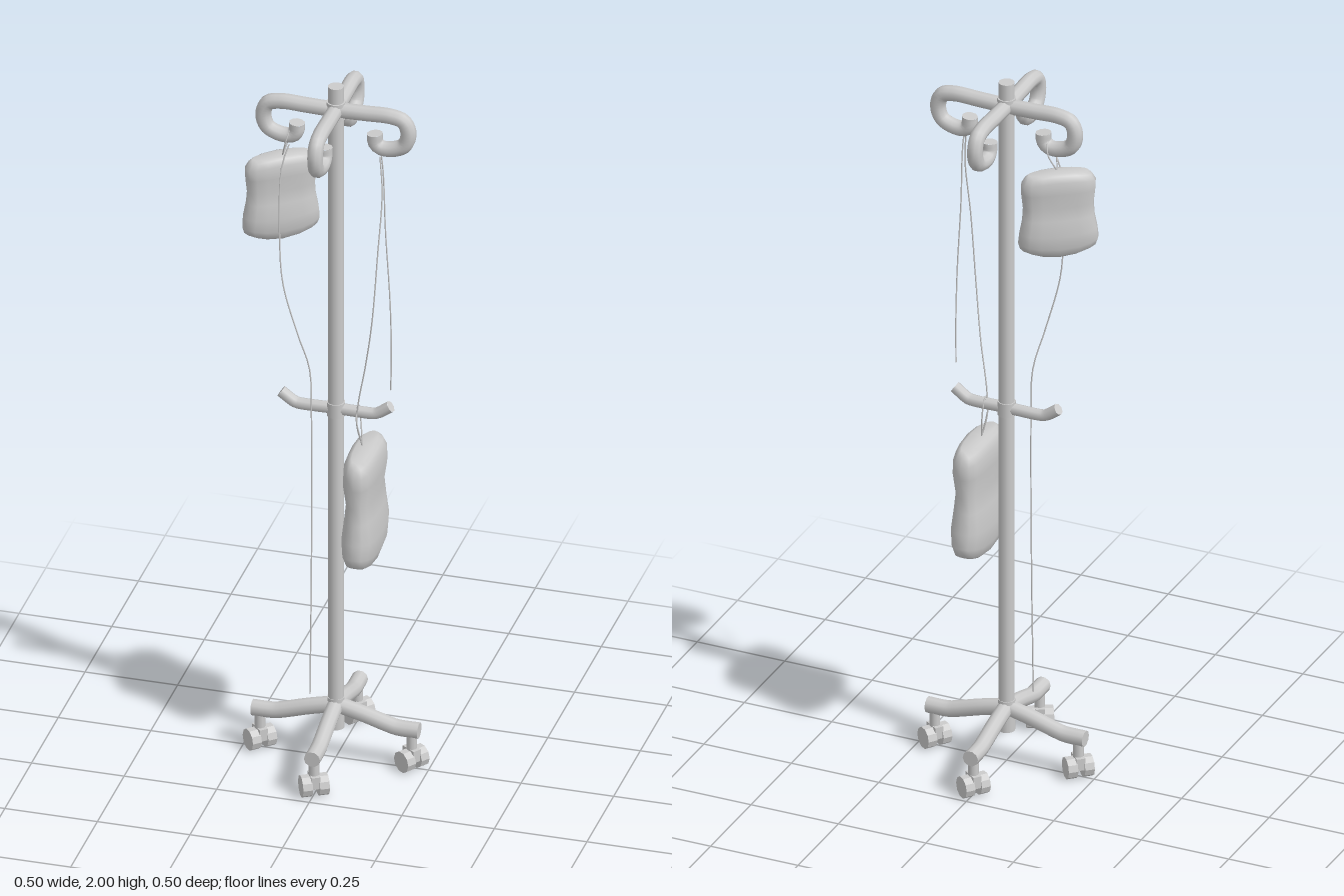
import * as THREE from 'three';

const grey = new THREE.MeshStandardMaterial({ color: 0xcccccc });
const flat = new THREE.MeshStandardMaterial({ color: 0xcccccc, flatShading: true });
const V = (p) => new THREE.Vector3(...p);

function add(parent, name, geometry, material = grey, pos = [0, 0, 0]) {
  const mesh = new THREE.Mesh(geometry, material);
  mesh.name = name;
  mesh.position.set(...pos);
  parent.add(mesh);
  return mesh;
}

// Round bar along a smooth path, closed with flat discs
function rod(parent, name, points, r, segs = 28, sides = 10) {
  const curve = new THREE.CatmullRomCurve3(points.map(V), false, 'centripetal');
  const group = new THREE.Group();
  group.name = name;
  add(group, name + 'Bar', new THREE.TubeGeometry(curve, segs, r, sides));
  for (const t of [0, 1]) {
    const cap = add(group, name + 'End', new THREE.CircleGeometry(r, sides), grey, curve.getPoint(t).toArray());
    const dir = curve.getTangent(t).multiplyScalar(t ? 1 : -1);
    cap.quaternion.setFromUnitVectors(new THREE.Vector3(0, 0, 1), dir);
  }
  parent.add(group);
  return group;
}

// Soft bag lofted from rounded sections: height, half width, half depth, edge lift
function bagGeometry(w, h, d) {
  const sections = [
    [1.0, 0.74, 0.45, -0.02], [0.985, 0.84, 0.68, -0.045], [0.92, 0.93, 0.88, -0.05],
    [0.78, 0.92, 0.92, -0.02], [0.6, 0.88, 0.74, 0], [0.46, 0.9, 0.86, 0],
    [0.28, 0.97, 1.0, 0.02], [0.12, 1.0, 0.9, 0.06], [0.03, 0.95, 0.68, 0.08], [0, 0.84, 0.45, 0.08],
  ];
  const n = 16, pos = [], idx = [];
  const pow = (v) => Math.sign(v) * Math.abs(v) ** 0.75;
  for (const [y, sw, sd, lift] of sections) {
    for (let j = 0; j < n; j++) {
      const a = (j / n) * Math.PI * 2, u = pow(Math.cos(a));
      pos.push(u * sw * w, (y + lift * u * u) * h, pow(Math.sin(a)) * sd * d);
    }
  }
  const top = sections.length * n, last = top - n;
  pos.push(0, h, 0, 0, 0, 0);
  for (let j = 0; j < n; j++) {
    const k = (j + 1) % n;
    for (let i = 0; i < last; i += n) idx.push(i + j, i + k, i + n + j, i + k, i + n + k, i + n + j);
    idx.push(top, k, j, top + 1, last + j, last + k);
  }
  const g = new THREE.BufferGeometry();
  g.setAttribute('position', new THREE.Float32BufferAttribute(pos, 3));
  g.setIndex(idx);
  g.computeVertexNormals();
  return g;
}

// Twin-wheel caster, axle along local x
function caster() {
  const g = new THREE.Group();
  g.name = 'caster';
  for (const s of [-1, 1]) {
    const wheel = add(g, 'wheel', new THREE.CylinderGeometry(0.03, 0.03, 0.026, 10), flat, [s * 0.0225, 0.03, 0]);
    wheel.rotation.z = Math.PI / 2;
  }
  const axle = add(g, 'axle', new THREE.CylinderGeometry(0.014, 0.014, 0.05, 8), flat, [0, 0.03, 0]);
  axle.rotation.z = Math.PI / 2;
  add(g, 'wheelHousing', new THREE.BoxGeometry(0.024, 0.034, 0.046), flat, [0, 0.045, 0]);
  add(g, 'casterStem', new THREE.CylinderGeometry(0.014, 0.014, 0.06, 10), grey, [0, 0.08, 0]);
  return g;
}

export function createModel() {
  const model = new THREE.Group();
  model.name = 'dripStand';

  // Pole and its hubs
  add(model, 'pole', new THREE.CylinderGeometry(0.021, 0.021, 1.9, 12), grey, [0, 1.05, 0]);
  add(model, 'upperHub', new THREE.CylinderGeometry(0.025, 0.025, 0.05, 12), grey, [0, 1.93, 0]);
  add(model, 'baseHub', new THREE.CylinderGeometry(0.023, 0.023, 0.09, 12), grey, [0, 0.138, 0]);

  // Four hooks, four legs and four casters around the pole
  const yaws = [0.95, 0.52, 0.75, 0.91];
  for (let i = 0; i < 4; i++) {
    const side = new THREE.Group();
    side.name = 'side' + (i + 1);
    side.rotation.y = (i * Math.PI) / 2;
    rod(side, 'hook', [[0, 1.93, 0], [0.08, 1.932, 0], [0.15, 1.933, 0], [0.183, 1.923, 0], [0.196, 1.89, 0],
      [0.185, 1.853, 0], [0.15, 1.836, 0], [0.12, 1.837, 0], [0.107, 1.85, 0], [0.105, 1.876, 0]], 0.021, 40);
    rod(side, 'leg', [[0, 0.16, 0], [0.07, 0.143, 0], [0.14, 0.122, 0], [0.165, 0.116, 0], [0.225, 0.115, 0]], 0.022, 20);
    model.add(side);

    const wheels = caster();
    const a = (i * Math.PI) / 2;
    wheels.position.set(Math.cos(a) * 0.205, 0, -Math.sin(a) * 0.205);
    wheels.rotation.y = [yaws[0], yaws[3], yaws[2], yaws[1]][i];
    model.add(wheels);
  }

  // Crossbar with upturned ends
  rod(model, 'crossbar', [[-0.148, 1.069, 0], [-0.112, 1.044, 0], [-0.1, 1.041, 0], [0, 1.041, 0],
    [0.1, 1.041, 0], [0.112, 1.044, 0], [0.148, 1.069, 0]], 0.016, 40, 8);
  add(model, 'crossbarCollar', new THREE.CylinderGeometry(0.024, 0.024, 0.04, 12), grey, [0, 1.041, 0]);

  // Bags
  const upper = add(model, 'upperBag', bagGeometry(0.107, 0.245, 0.039), grey, [-0.15, 1.53, -0.005]);
  upper.rotation.y = 0.64;
  const lower = add(model, 'lowerBag', bagGeometry(0.124, 0.34, 0.049), grey, [0.079, 0.603, 0]);
  lower.rotation.y = Math.PI / 2;

  // Hanging cords and drip lines
  const cords = [
    ['upperBagCord', [[-0.145, 1.77, 0], [-0.128, 1.83, 0.024], [-0.12, 1.862, 0], [-0.128, 1.83, -0.024], [-0.145, 1.77, 0]]],
    ['lowerBagCord', [[0.072, 0.935, 0], [0.06, 1.03, 0.018], [0.06, 1.06, 0], [0.06, 1.03, -0.018], [0.072, 0.935, 0]]],
    ['upperBagLine', [[-0.12, 1.82, 0.022], [-0.135, 1.76, 0.04], [-0.135, 1.53, 0.057], [-0.125, 1.42, 0.06],
      [-0.09, 1.27, 0.045], [-0.065, 1.16, 0.022], [-0.06, 1.03, 0.022], [-0.058, 0.6, 0.028], [-0.06, 0.2, 0.035]]],
    ['looseLine', [[0.12, 1.86, 0.01], [0.13, 1.78, 0.01], [0.14, 1.6, 0.02], [0.155, 1.4, 0.03], [0.158, 1.25, 0.028], [0.154, 1.13, 0.02]]],
    ['lowerBagLine', [[0.125, 1.82, 0.02], [0.135, 1.72, 0.035], [0.13, 1.55, 0.06], [0.115, 1.35, 0.06],
      [0.09, 1.2, 0.035], [0.065, 1.07, 0.018], [0.06, 1.0, 0.01], [0.075, 0.93, 0]]],
  ];
  for (const [name, pts] of cords) rod(model, name, pts, 0.002, 48, 5);

  return model;
}
